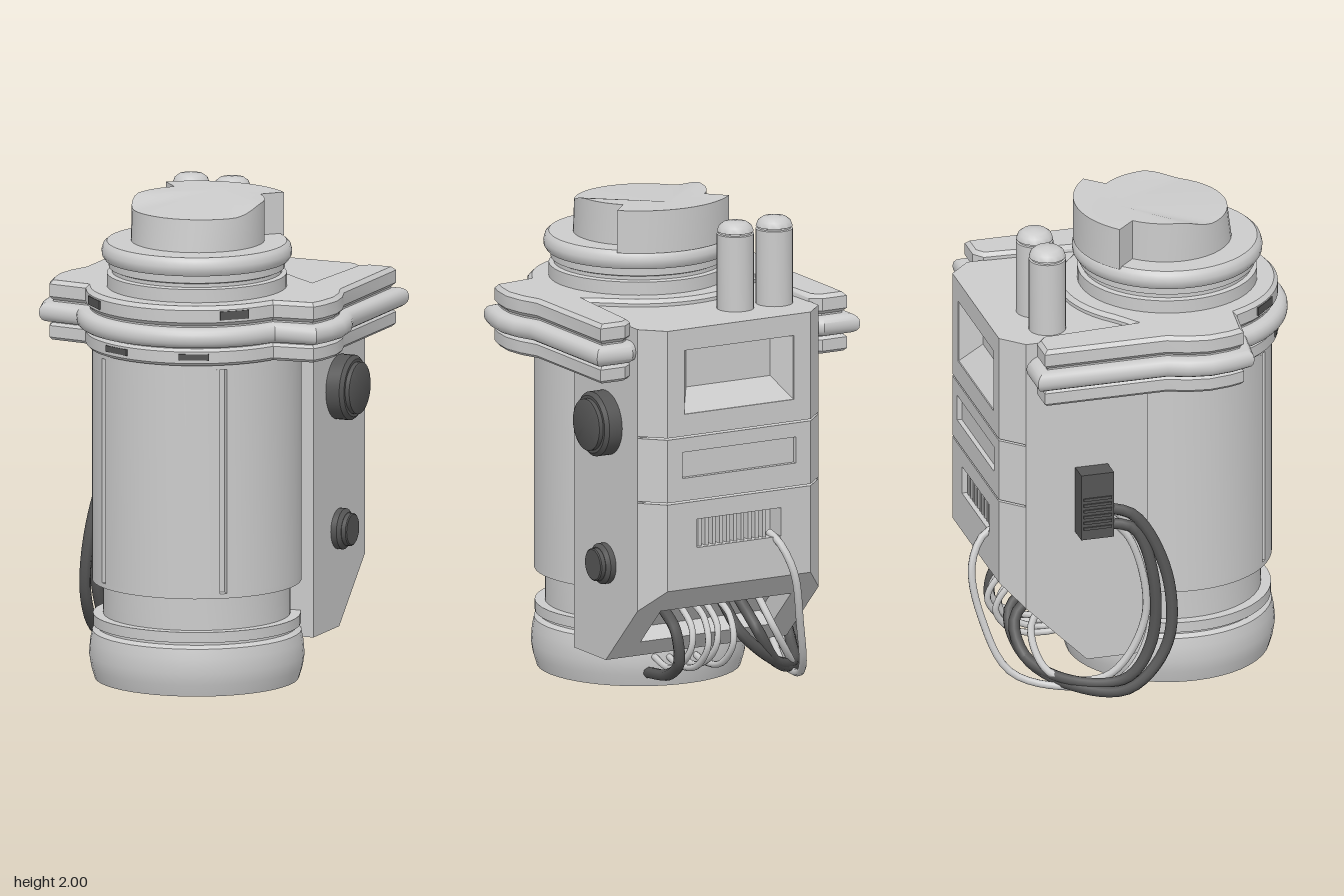
import * as THREE from 'three';
import { toCreasedNormals } from 'three/addons/utils/BufferGeometryUtils.js';
import { ConvexGeometry } from 'three/addons/geometries/ConvexGeometry.js';

const CZ = 0.21; // z of the main cylinder axis
const grey = new THREE.MeshStandardMaterial({ color: 0xcccccc });
const dark = new THREE.MeshStandardMaterial({ color: 0x555555 });
const V = (x, y, z) => new THREE.Vector3(x, y, z);

export function createModel() {
  const model = new THREE.Group();
  const add = (name, geometry, material = grey, x = 0, y = 0, z = 0) => {
    const mesh = new THREE.Mesh(geometry, material);
    mesh.name = name;
    mesh.position.set(x, y, z);
    model.add(mesh);
    return mesh;
  };
  const crease = (g, a = 0.6) => toCreasedNormals(g, a);
  const lathe = (pts, n = 48) =>
    crease(new THREE.LatheGeometry(pts.map(p => new THREE.Vector2(...p)), n));
  const hull = pts => new ConvexGeometry(pts.map(p => V(...p)));
  // Prism along x from a list of [y, z] corners
  const prism = (x0, x1, yz) => hull(yz.flatMap(([y, z]) => [[x0, y, z], [x1, y, z]]));
  // Extrudes an [x, z] outline upward
  const slab = (pts, y, options) => {
    const shape = new THREE.Shape(pts.map(([x, z]) => new THREE.Vector2(x, -z)));
    return crease(new THREE.ExtrudeGeometry(shape, options).rotateX(-Math.PI / 2).translate(0, y, 0));
  };

  // Foot, ring and lower neck
  add('base', lathe([[0, 0], [0.42, 0], [0.435, 0.05], [0.443, 0.1], [0.438, 0.16], [0.43, 0.2],
    [0.41, 0.213], [0.41, 0.226], [0.427, 0.226], [0.427, 0.27], [0.385, 0.27], [0.385, 0.42]]), grey, 0, 0, CZ);

  // Main barrel with two long grooves in the front
  const barrel = [];
  const polar = (r, a) => [r * Math.sin(a), CZ + r * Math.cos(a)];
  const grooves = [-0.678, 0.678];
  for (let i = 0; i < 64; i++) {
    const a = -Math.PI + (i / 64) * Math.PI * 2;
    const next = a + Math.PI / 32;
    if (!grooves.some(g => Math.abs(a - g) < 0.036)) barrel.push(polar(0.43, a));
    for (const g of grooves) if (g >= a && g < next) {
      barrel.push(polar(0.43, g - 0.035), polar(0.395, g - 0.035), polar(0.395, g + 0.035), polar(0.43, g + 0.035));
    }
  }
  add('barrel', slab(barrel, 0.43, { depth: 0.94, bevelEnabled: false }));
  for (const y of [0.42, 1.38]) {
    add('barrelRim', new THREE.CylinderGeometry(0.43, 0.43, 0.02, 64), grey, 0, y, CZ);
  }

  // Collar: one outline, used for the lower layer, the bead and the upper layer
  const R = 0.495;
  const half = [];
  for (let i = 0; i <= 12; i++) half.push(polar(R, (i / 12) * 1.13));
  half.push([0.625, 0.4], [0.655, 0.31], [0.67, 0.21], [0.655, 0.11], [0.625, 0.03],
    [0.625, -0.525], [0.455, -0.525], [0.385, -0.47]);
  for (let i = 0; i <= 8; i++) half.push(polar(R, 2.25 + (i / 8) * (Math.PI - 2.25)));
  const mirrored = half.slice(1, -1).reverse().map(([x, z]) => [-x, z]);
  const outline = [...half, ...mirrored];
  const layer = (y0, y1, inset, b, segments) => slab(outline, y0 + b, {
    depth: y1 - y0 - 2 * b, bevelThickness: b, bevelSize: b, bevelOffset: -b - inset, bevelSegments: segments,
  });
  add('collarLower', layer(1.39, 1.462, 0.04, 0.012, 1));
  add('collarCore', layer(1.45, 1.57, 0.055, 0.005, 1));
  add('collarBead', layer(1.468, 1.55, 0, 0.036, 4));
  add('collarUpper', layer(1.556, 1.64, 0.04, 0.016, 1));
  for (const s of [-1, 1]) {
    for (const [a, y, h] of [[0.77, 1.6, 0.036], [0.395, 1.428, 0.026]]) {
      const [x, z] = polar(0.45, s * a);
      add('collarSlot', new THREE.BoxGeometry(0.125, h, 0.014), dark, x, y, z).rotation.y = s * a;
    }
  }

  // Upper neck with rounded ring
  add('neck', lathe([[0.37, 1.62], [0.37, 1.695], [0.35, 1.7], [0.35, 1.715], [0.362, 1.72], [0.362, 1.75],
    [0.378, 1.752], [0.39, 1.77], [0.392, 1.79], [0.385, 1.815], [0.37, 1.828], [0, 1.83]]), grey, 0, 0, CZ);

  // Cap: round in front, wider sector at the back, top dipping to the front
  const cap = [];
  for (let i = 0; i <= 32; i++) {
    const a = -2.36 + (i / 32) * 4.72;
    cap.push([0.275 * Math.sin(a), 0.2 + 0.275 * Math.cos(a)]);
  }
  for (let i = 0; i <= 14; i++) cap.push(polar(0.387, 2.385 + (i / 14) * 1.513));
  const topY = z => 2 - 0.037 * THREE.MathUtils.smoothstep(z, 0.18, 0.36);
  const capPos = [];
  cap.forEach(([x0, z0], i) => {
    const [x1, z1] = cap[(i + 1) % cap.length];
    const lean = z => (z > 0.2 ? z - (z - 0.2) * 0.07 : z);
    const a = [x0, 1.82, z0], b = [x1, 1.82, z1];
    const c = [x1, topY(z1), lean(z1)], d = [x0, topY(z0), lean(z0)];
    capPos.push(...a, ...b, ...c, ...a, ...c, ...d, ...d, ...c, 0, 1.997, -0.03);
  });
  const capGeometry = new THREE.BufferGeometry();
  capGeometry.setAttribute('position', new THREE.Float32BufferAttribute(capPos, 3));
  add('cap', crease(capGeometry, 0.5));

  // Back housing, its slanted underside recessed behind a frame
  const A = [0.16, -0.26], B = [0.42, -0.52], A2 = [0.16, -0.13], B2 = [0.55, -0.52];
  add('housing', prism(-0.43, 0.43, [[0.16, 0], A2, B2, [1.61, -0.52], [1.61, 0]]));
  const mix = (p, q, t) => [p[0] + (q[0] - p[0]) * t, p[1] + (q[1] - p[1]) * t];
  const frame = (x0, x1, t0, t1) => add('undersideFrame', prism(x0, x1,
    [mix(A, B, t0), mix(A, B, t1), mix(A2, B2, t0), mix(A2, B2, t1)]));
  frame(-0.43, -0.31, 0, 1);
  frame(0.31, 0.43, 0, 1);
  frame(-0.31, 0.31, 0, 0.3);
  frame(-0.31, 0.31, 0.93, 1);
  add('undersideLip', prism(-0.34, 0.34, [B, [0.51, -0.52], [0.51, -0.61]]));

  // Three back panels with recessed windows and chamfered sides
  const rect = (P, x, y0, y1) => new P([[-x, y0], [x, y0], [x, y1], [-x, y1]].map(p => new THREE.Vector2(...p)));
  for (const [y0, y1, w, h0, h1] of [[1.158, 1.61, 0.26, 1.25, 1.52], [0.884, 1.15, 0.27, 0.98, 1.09], [0.51, 0.876, 0.2, 0.68, 0.8]]) {
    const shape = rect(THREE.Shape, 0.34, y0, y1);
    shape.holes.push(rect(THREE.Path, w, h0, h1));
    add('backPanel', new THREE.ExtrudeGeometry(shape, { depth: 0.09, bevelEnabled: false }), grey, 0, 0, -0.61);
    const low = y0 < 0.6 ? 0.42 : y0;
    for (const s of [-1, 1]) {
      add('panelChamfer', hull([[s * 0.43, low, -0.52], [s * 0.34, low, -0.52], [s * 0.34, y0, -0.61],
        [s * 0.43, y1, -0.52], [s * 0.34, y1, -0.52], [s * 0.34, y1, -0.61]]));
    }
  }
  add('windowSill', prism(-0.26, 0.26, [[1.25, -0.605], [1.25, -0.52], [1.34, -0.52]]));
  for (const s of [-1, 1]) {
    add('windowJamb', hull([1.25, 1.52].flatMap(y => [[s * 0.26, y, -0.605], [s * 0.26, y, -0.52], [s * 0.2, y, -0.52]])));
  }
  add('middleInset', new THREE.BoxGeometry(0.54, 0.11, 0.06), grey, 0, 1.035, -0.56);
  for (let i = 0; i < 10; i++) {
    add('ventRib', new THREE.BoxGeometry(0.016, 0.12, 0.06), grey, -0.13 + i * 0.034, 0.74, -0.56);
  }

  // Two round-topped pegs
  for (const x of [-0.295, -0.11]) {
    add('peg', lathe([[0.077, 1.6], [0.077, 1.925], [0.07, 1.928], [0.07, 1.934], [0.076, 1.936],
      [0.068, 1.958], [0.05, 1.972], [0, 1.978]], 24), grey, x, 0, -0.39);
  }

  // Side knobs
  for (const [y, r, d] of [[1.165, 0.135, 0.075], [0.57, 0.085, 0.04]]) {
    const knob = add('knob', lathe([[r, -0.01], [r, d - 0.015], [r - 0.015, d], [r * 0.8, d],
      [r * 0.8, d + 0.018], [r * 0.74, d + 0.022], [0, d + 0.022]], 32), dark, 0.43, y, -0.26);
    knob.rotation.z = -Math.PI / 2;
  }

  // Plug on the other side, with ribs
  add('plug', new THREE.BoxGeometry(0.09, 0.29, 0.14), dark, -0.475, 0.885, -0.24);
  for (let i = 0; i < 6; i++) {
    add('plugRib', new THREE.BoxGeometry(0.012, 0.012, 0.12), dark, -0.52, 0.79 + i * 0.026, -0.24);
  }

  // Cables
  const cable = (name, r, material, pts) => add(name, new THREE.TubeGeometry(
    new THREE.CatmullRomCurve3(pts.map(p => V(...p))), 48, r, 8), material);
  for (let i = 0; i < 2; i++) {
    cable('darkCable', 0.024, dark, [[-0.48, 0.86 - i * 0.07, -0.2], [-0.51, 0.82 - i * 0.06, -0.08],
      [-0.55, 0.55, 0.05 - i * 0.06], [-0.575 + i * 0.03, 0.25, 0.04 - i * 0.06], [-0.57 + i * 0.04, 0.07 + i * 0.03, -0.12],
      [-0.43, 0.05 + i * 0.02, -0.32], [-0.25, 0.12, -0.47], [-0.16 + i * 0.08, 0.26, -0.49], [-0.14 + i * 0.08, 0.38, -0.36]]);
  }
  cable('darkCable', 0.024, dark, [[0.22, 0.38, -0.36], [0.22, 0.3, -0.47], [0.21, 0.17, -0.48], [0.19, 0.09, -0.36], [0.18, 0.06, -0.18]]);
  cable('ventCable', 0.016, grey, [[-0.17, 0.69, -0.56], [-0.18, 0.66, -0.63], [-0.215, 0.54, -0.69], [-0.26, 0.32, -0.66],
    [-0.33, 0.1, -0.56], [-0.4, 0.035, -0.35], [-0.46, 0.07, -0.12], [-0.475, 0.3, 0], [-0.485, 0.7, -0.04], [-0.48, 0.88, -0.2]]);
  cable('lightCable', 0.016, grey, [[-0.23, 0.38, -0.36], [-0.26, 0.25, -0.45], [-0.37, 0.09, -0.4],
    [-0.46, 0.09, -0.18], [-0.495, 0.35, -0.03], [-0.5, 0.7, -0.09], [-0.48, 0.83, -0.2]]);
  for (let i = 0; i < 4; i++) {
    const x = -0.03 + i * 0.06, k = (i % 2) * 0.03;
    cable('wire', 0.014, grey, [[x, 0.4, -0.36], [x, 0.34 - k, -0.48], [x + 0.01, 0.24, -0.53 + k],
      [x + 0.02, 0.14 + k, -0.46], [x + 0.02, 0.11, -0.33], [x + 0.01, 0.13, -0.18]]);
  }
  return model;
}
